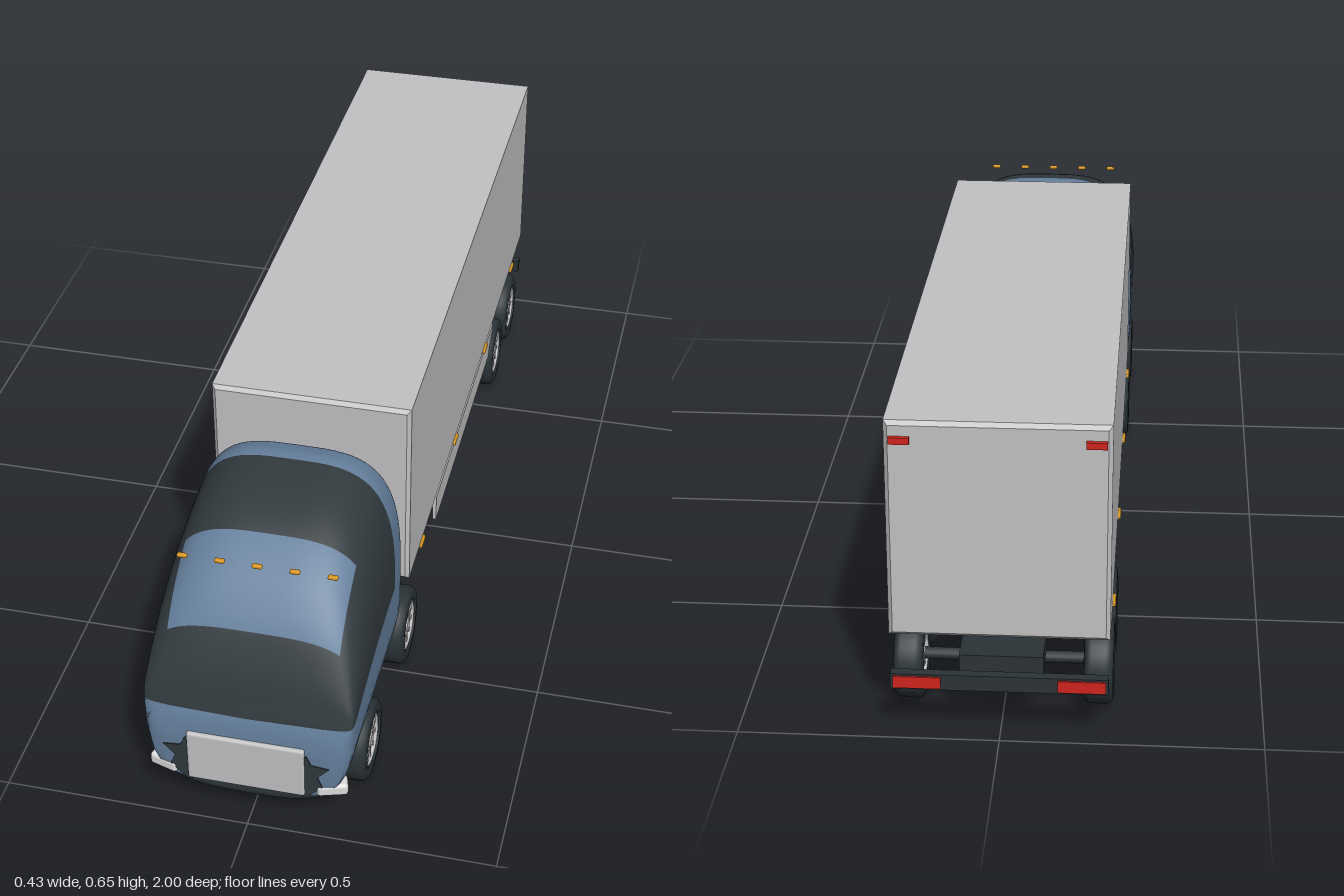
import * as THREE from 'three';
import { RoundedBoxGeometry } from 'three/addons/geometries/RoundedBoxGeometry.js';

const mat = (name, color, side = THREE.FrontSide) => {
  const m = new THREE.MeshStandardMaterial({ color, side });
  m.name = name;
  return m;
};
const blue = mat('blue paint', 0x647e9b);
const dark = mat('dark glass and trim', 0x31393d);
const rubber = mat('rubber and chassis', 0x2b3337);
const silver = mat('silver panels', 0xc2c2c4);
const rimGrey = mat('rim shade', 0x85888b);
const lamp = mat('headlight white', 0xdcdcdc);
const amber = mat('amber', 0xd8961e);
const red = mat('red', 0xd0241c);

function add(parent, name, geo, material, x = 0, y = 0, z = 0) {
  const m = new THREE.Mesh(geo, material);
  m.name = name;
  m.position.set(x, y, z);
  parent.add(m);
  return m;
}
const box = (w, h, d) => new THREE.BoxGeometry(w, h, d);

// Cab stations from back to front: z, half width, bottom y, top y
const STATIONS = [
  [0.515, 0.17, 0.1, 0.55], [0.521, 0.195, 0.08, 0.575], [0.535, 0.207, 0.068, 0.597],
  [0.56, 0.21, 0.063, 0.607], [0.6, 0.21, 0.062, 0.61], [0.7, 0.21, 0.062, 0.59],
  [0.775, 0.21, 0.062, 0.56], [0.84, 0.21, 0.062, 0.517], [0.88, 0.21, 0.062, 0.478],
  [0.915, 0.21, 0.062, 0.43], [0.95, 0.21, 0.063, 0.36], [0.97, 0.207, 0.065, 0.305],
  [0.98, 0.2, 0.068, 0.275], [0.988, 0.19, 0.075, 0.245], [0.993, 0.165, 0.09, 0.21],
];
const SPANS = [8, 10, 10, 10]; // underside, lower side, upper side, roof

// Half of a superellipse section, split where the colours meet
function halfSection(z, w, yb, yt) {
  const cy = Math.min(0.28, yt - 0.04), H = Math.PI / 2;
  const clamp = (v) => Math.min(1, Math.max(0, v));
  const angleAtY = (y) => y > cy
    ? Math.asin(Math.pow(clamp((y - cy) / (yt - cy)), 1.75))
    : -Math.asin(Math.pow(clamp((cy - y) / (cy - yb)), 1.5));
  const underside = 0.078 + 0.024 * THREE.MathUtils.smoothstep(z, 0.9, 0.98);
  const windowLine = 0.32 - 0.05 * Math.pow(Math.max(0, z - 0.6) / 0.38, 2);
  const a1 = angleAtY(underside), a2 = Math.max(a1, angleAtY(windowLine));
  const a3 = Math.max(a2, Math.acos(Math.pow(clamp(0.17 / w), 1.75)));
  const stops = [-H, a1, a2, a3, H], pts = [];
  SPANS.forEach((n, s) => {
    for (let k = 0; k < n; k++) pts.push(stops[s] + (stops[s + 1] - stops[s]) * k / n);
  });
  pts.push(H);
  return pts.map((a) => {
    const e = a > 0 ? 2 / 3.5 : 2 / 3, c = Math.max(0, Math.cos(a)), s = Math.abs(Math.sin(a));
    return [w * Math.pow(c, e), a > 0 ? cy + (yt - cy) * Math.pow(s, e) : cy - (cy - yb) * Math.pow(s, e)];
  });
}

function cabGeometry() {
  const sub = 4, rows = (STATIONS.length - 1) * sub + 1;
  const curveA = new THREE.CatmullRomCurve3(STATIONS.map((s) => new THREE.Vector3(s[0], s[1], 0)), false, 'catmullrom', 0.5);
  const curveB = new THREE.CatmullRomCurve3(STATIONS.map((s) => new THREE.Vector3(s[2], s[3], 0)), false, 'catmullrom', 0.5);
  const pos = [], zs = [], faces = [[], []];
  const half = SPANS.reduce((a, b) => a + b), ring = half * 2;
  for (let i = 0; i < rows; i++) {
    const A = curveA.getPoint(i / (rows - 1)), B = curveB.getPoint(i / (rows - 1));
    const pts = halfSection(A.x, A.y, B.x, B.y);
    zs.push(A.x);
    for (let j = 0; j < ring; j++) {
      const p = pts[j <= half ? j : ring - j];
      pos.push(j <= half ? p[0] : -p[0], p[1], A.x);
    }
  }
  const spanOf = (j) => {
    let k = j < half ? j : ring - 1 - j, s = 0;
    while (k >= SPANS[s]) k -= SPANS[s++];
    return s;
  };
  const isDark = (s, z) => s === 0 || (s > 1 && z > 0.6 && z < 0.985 && !(s === 3 && z > 0.775 && z < 0.915));
  for (let i = 0; i < rows - 1; i++) {
    for (let j = 0; j < ring; j++) {
      const k = (j + 1) % ring, a = i * ring + j, b = i * ring + k;
      faces[isDark(spanOf(j), (zs[i] + zs[i + 1]) / 2) ? 1 : 0].push(a, b, a + ring, b, b + ring, a + ring);
    }
  }
  // End caps
  const back = pos.length / 3, front = back + 1, last = (rows - 1) * ring;
  pos.push(0, 0.3, 0.513, 0, 0.15, 0.994);
  for (let j = 0; j < ring; j++) {
    const k = (j + 1) % ring;
    faces[0].push(back, k, j);
    faces[spanOf(j) === 0 ? 1 : 0].push(front, last + j, last + k);
  }
  const g = new THREE.BufferGeometry();
  g.setAttribute('position', new THREE.Float32BufferAttribute(pos, 3));
  g.setIndex([...faces[0], ...faces[1]]);
  g.addGroup(0, faces[0].length, 0);
  g.addGroup(faces[0].length, faces[1].length, 1);
  g.computeVertexNormals();
  return g;
}

// Wheel with its axle along x
function makeWheel() {
  const wheel = new THREE.Group();
  wheel.name = 'wheel';
  const profile = [[0.054, -0.026], [0.062, -0.029], [0.076, -0.028], [0.083, -0.022], [0.085, -0.014],
    [0.085, 0.014], [0.083, 0.022], [0.076, 0.028], [0.062, 0.029], [0.054, 0.026], [0.054, -0.026]];
  const tyre = new THREE.LatheGeometry(profile.map((p) => new THREE.Vector2(...p)), 40);
  add(wheel, 'tyre', tyre.rotateZ(-Math.PI / 2), rubber);
  add(wheel, 'rimDisc', new THREE.CylinderGeometry(0.055, 0.055, 0.034, 32).rotateZ(-Math.PI / 2), rimGrey);
  add(wheel, 'hub', new THREE.CylinderGeometry(0.015, 0.015, 0.05, 20).rotateZ(-Math.PI / 2), silver);
  for (const s of [-1, 1]) {
    add(wheel, 'rimRing', new THREE.TorusGeometry(0.051, 0.005, 8, 36).rotateY(Math.PI / 2), silver, s * 0.021);
    for (let i = 0; i < 10; i++) {
      const spoke = box(0.008, 0.04, 0.009).translate(s * 0.018, 0.031, 0).rotateX(i * Math.PI / 5);
      add(wheel, 'spoke', spoke, silver);
    }
  }
  return wheel;
}

// Cargo box with chamfered edges
function cargoGeometry() {
  const b = 0.008, w = 0.207 - b, y0 = 0.214 + b, y1 = 0.65 - b;
  const shape = new THREE.Shape([[-w, y0], [w, y0], [w, y1], [-w, y1]].map((p) => new THREE.Vector2(...p)));
  return new THREE.ExtrudeGeometry(shape, { depth: 1.44 - 2 * b, bevelThickness: b, bevelSize: b, bevelSegments: 1 })
    .translate(0, 0, -0.99 + b);
}

export function createModel() {
  const truck = new THREE.Group();
  truck.name = 'truck';

  // Cab and nose
  const cab = new THREE.Group();
  cab.name = 'cab';
  truck.add(cab);
  add(cab, 'cabBody', cabGeometry(), [blue, dark]);
  add(cab, 'grille', new RoundedBoxGeometry(0.236, 0.12, 0.04, 2, 0.006), silver, 0, 0.161, 0.98);
  const vent = [[0.11, 0.205], [0.122, 0.205], [0.131, 0.184], [0.166, 0.18], [0.143, 0.155],
    [0.153, 0.13], [0.12, 0.097], [0.11, 0.097]];
  for (const s of [-1, 1]) {
    const shape = new THREE.Shape(vent.map(([x, y]) => new THREE.Vector2(s * x, y)));
    add(cab, 'noseVent', new THREE.ExtrudeGeometry(shape, { depth: 0.02, bevelEnabled: false }), dark, 0, 0, 0.9755);
    const light = add(cab, 'headlight', new RoundedBoxGeometry(0.062, 0.028, 0.035, 3, 0.008), lamp, s * 0.167, 0.118, 0.973);
    light.rotation.y = s * 0.3;
  }
  for (let i = -2; i <= 2; i++) {
    add(cab, 'roofMarker', new RoundedBoxGeometry(0.02, 0.008, 0.01, 2, 0.003), amber, i * 0.0735, 0.555, 0.868);
  }

  // Chassis and wheels
  add(truck, 'chassis', box(0.16, 0.042, 1.48), rubber, 0, 0.13, -0.205);
  for (const z of [0.8, 0.445, -0.62, -0.83]) {
    add(truck, 'axle', new THREE.CylinderGeometry(0.012, 0.012, 0.34, 12).rotateZ(Math.PI / 2), rubber, 0, 0.088, z);
    for (const s of [-1, 1]) {
      const wheel = makeWheel();
      wheel.position.set(s * 0.183, 0.085, z);
      truck.add(wheel);
    }
  }

  // Trailer, skirts and lights
  const trailer = new THREE.Group();
  trailer.name = 'trailer';
  truck.add(trailer);
  add(trailer, 'cargoBox', cargoGeometry(), silver);
  add(trailer, 'rearBumper', box(0.41, 0.032, 0.02), rubber, 0, 0.12, -0.986);
  for (const s of [-1, 1]) {
    add(trailer, 'sideSkirt', box(0.008, 0.062, 0.72), silver, s * 0.198, 0.15, -0.24);
    add(trailer, 'bumperLight', box(0.09, 0.024, 0.006), red, s * 0.155, 0.12, -0.997);
    add(trailer, 'topTailLight', box(0.038, 0.013, 0.012), red, s * 0.178, 0.615, -0.993);
    for (const z of [0.315, -0.063, -0.445, -0.822]) {
      add(trailer, 'sideMarker', new RoundedBoxGeometry(0.012, 0.01, 0.038, 2, 0.003), amber, s * 0.207, 0.212, z);
    }
  }
  return truck;
}
